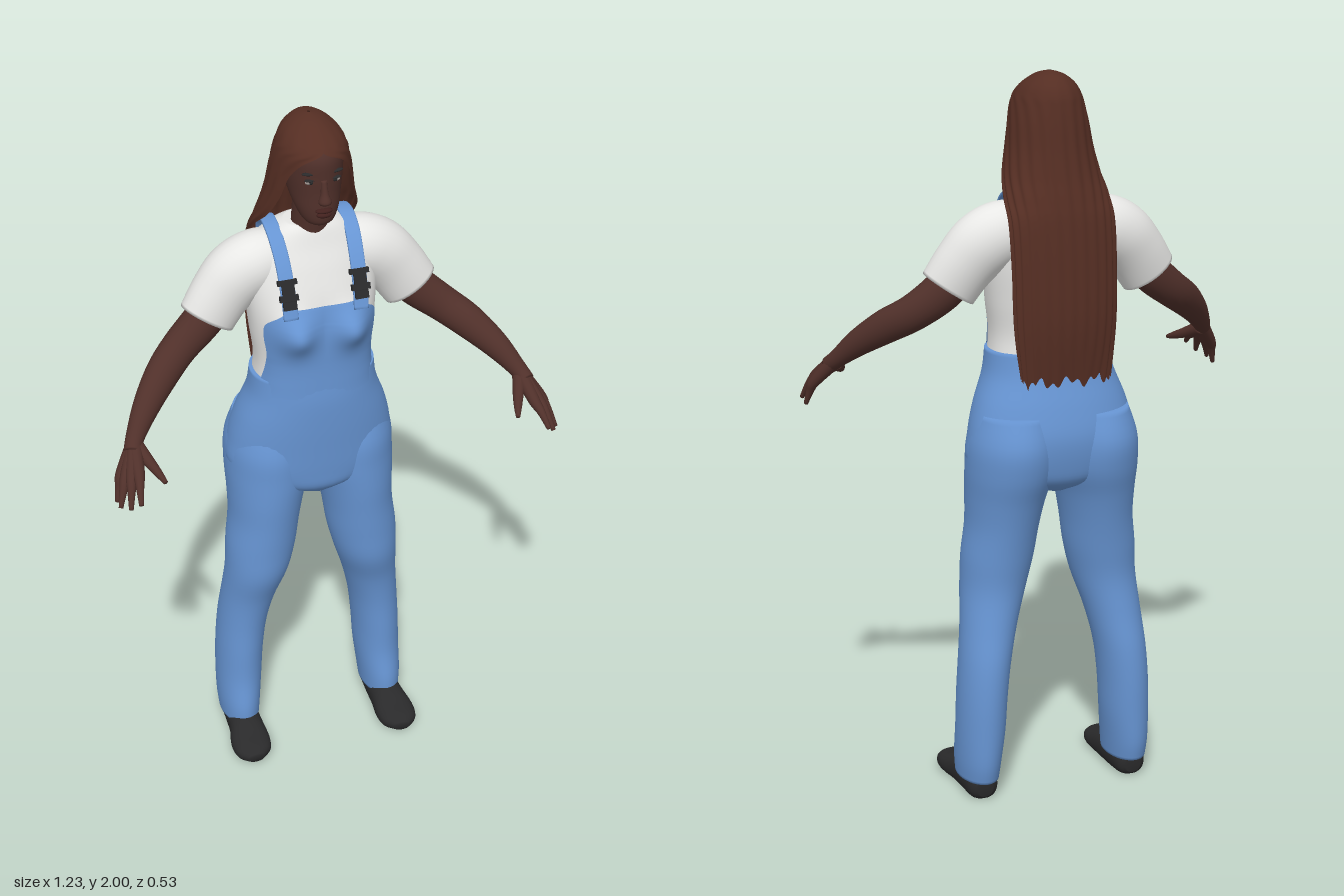
import * as THREE from 'three';

const mat = (name, color, both) => {
  const m = new THREE.MeshStandardMaterial({ color });
  m.name = name;
  if (both) m.side = THREE.DoubleSide;
  return m;
};

// Catmull-Rom resampling of rows of numbers
function resample(rows, n) {
  const out = [], last = rows.length - 1;
  for (let s = 0; s <= n; s++) {
    const f = (s / n) * last, i = Math.min(Math.floor(f), last - 1), t = f - i;
    const p = k => rows[Math.max(0, Math.min(last, k))];
    out.push(rows[0].map((_, k) => {
      const a = p(i - 1)[k], b = p(i)[k], c = p(i + 1)[k], d = p(i + 2)[k];
      return b + 0.5 * t * (c - a + t * (2 * a - 5 * b + 4 * c - d + t * (3 * (b - c) + d - a)));
    }));
  }
  return out;
}

// Indexed grid of points; closed wraps each row around
function grid(rows, closed) {
  const w = rows[0].length, idx = [];
  for (let i = 0; i < rows.length - 1; i++) {
    for (let j = 0; j < (closed ? w : w - 1); j++) {
      const a = i * w + j, b = i * w + (j + 1) % w;
      idx.push(a, b, a + w, b, b + w, a + w);
    }
  }
  const g = new THREE.BufferGeometry();
  g.setAttribute('position', new THREE.Float32BufferAttribute(rows.flat(2), 3));
  g.setIndex(idx);
  g.computeVertexNormals();
  return g;
}

// Loft of (super)ellipses through rows [x, y, z, ra, rb]; ra lies along ref.
// flat keeps every section horizontal; warp may move each point.
function loft(rows, { ref = [1, 0, 0], flat = false, n = 2, seg = 28, steps = 30, warp } = {}) {
  const s = resample(rows, steps), V = r => new THREE.Vector3(r[0], r[1], r[2]);
  const rings = s.map((r, i) => {
    let t = V(s[Math.min(i + 1, steps)]).sub(V(s[Math.max(i - 1, 0)])).normalize();
    if (flat) t = new THREE.Vector3(0, Math.sign(t.y), 0);
    const u = new THREE.Vector3(...ref);
    u.addScaledVector(t, -u.dot(t)).normalize();
    const v = t.clone().cross(u), ring = [];
    for (let j = 0; j < seg; j++) {
      const a = (j / seg) * Math.PI * 2, c = Math.cos(a), d = Math.sin(a);
      const p = V(r).addScaledVector(u, Math.sign(c) * Math.abs(c) ** (2 / n) * r[3])
        .addScaledVector(v, Math.sign(d) * Math.abs(d) ** (2 / n) * r[4]);
      if (warp) warp(p);
      ring.push(p.toArray());
    }
    return ring;
  });
  const cap = ring => {
    const c = [0, 1, 2].map(k => ring.reduce((a, p) => a + p[k], 0) / seg);
    return ring.map(() => c);
  };
  return grid([cap(rings[0]), ...rings, cap(rings[steps])], true);
}

// [y, half width, front z, back z] to loft rows
const body = rows => rows.map(([y, rx, f, b]) => [0, y, (f + b) / 2, rx, (f - b) / 2]);

export function createModel() {
  const model = new THREE.Group();
  model.name = 'womanInDungarees';
  const denim = mat('denim blue', 0x6795d3), bibDenim = denim;
  denim.side = THREE.DoubleSide;
  const cotton = mat('white cotton', 0xe8e8e6), skin = mat('brown skin', 0x50302a);
  const hairMat = mat('dark brown hair', 0x552e23, true), black = mat('black', 0x2a2a2b);
  const lipMat = mat('lip', 0x42211e), eyeMat = mat('eye white', 0x9a918c);

  const add = (name, geo, m, parent = model) => {
    const mesh = new THREE.Mesh(geo, m);
    mesh.name = name;
    parent.add(mesh);
    return mesh;
  };
  const blob = (name, m, pos, size, parent) => {
    const b = add(name, new THREE.SphereGeometry(1, 20, 14), m, parent);
    b.position.set(...pos);
    b.scale.set(...size);
    return b;
  };

  // Torso and shirt
  const N = 2.3;
  const torso = body([[1.2, .172, .04, -.2], [1.3, .16, .038, -.188], [1.4, .17, .038, -.198], [1.5, .178, .03, -.208],
    [1.58, .172, .005, -.208], [1.64, .148, -.02, -.198], [1.68, .105, -.035, -.172], [1.7, .066, -.045, -.145]]);
  const bust = (x, y) => .044 * Math.exp(-(((Math.abs(x) - .08) / .05) ** 2) - ((y - 1.425) / .055) ** 2);
  add('shirtBody', loft(torso, {
    flat: true, n: N, seg: 48, steps: 40,
    warp: p => { if (p.z > -.06) p.z += bust(p.x, p.y); }
  }), cotton);

  // Dungarees: hips, bib and legs
  add('dungareeHips', loft(body([[1.265, .172, .046, -.2], [1.2, .181, .051, -.213], [1.12, .211, .049, -.238],
    [1.04, .231, .044, -.254], [.96, .235, .038, -.245], [.91, .17, .03, -.225], [.875, .05, 0, -.17]]),
  { flat: true, n: 2.15, seg: 48 }), denim);

  const fine = resample(torso, 80);
  const frontZ = (x, y) => {
    const r = fine.find(q => q[1] >= y) || fine[80];
    return r[2] + r[4] * Math.max(0, 1 - Math.abs(x / r[3]) ** N) ** (1 / N) + bust(x, y);
  };
  const bibRows = resample([[1.22, .168], [1.29, .152], [1.35, .147], [1.41, .154], [1.45, .15], [1.48, .118], [1.5, .088]], 36);
  add('bib', grid(bibRows.map(([y, w]) => Array.from({ length: 41 }, (_, j) => {
    const x = (j / 20 - 1) * w;
    return [x, y, frontZ(x, y) + .009];
  }))), bibDenim);

  // Head, neck and face
  add('neck', loft([[0, 1.62, -.095, .058, .055], [0, 1.68, -.085, .052, .05], [0, 1.78, -.07, .05, .05]], { flat: true }), skin);
  add('head', loft(body([[1.728, .02, .012, -.03], [1.742, .041, .029, -.06], [1.775, .058, .034, -.1], [1.82, .07, .033, -.15],
    [1.87, .077, .034, -.17], [1.92, .077, .032, -.17], [1.955, .06, .005, -.15], [1.975, .03, -.04, -.12]]), { flat: true, seg: 36 }), skin);
  add('nose', loft([[0, 1.868, .03, .008, .01], [0, 1.835, .038, .01, .012], [0, 1.812, .042, .017, .018],
    [0, 1.802, .036, .013, .012]], { flat: true, seg: 16, steps: 14 }), skin);
  blob('upperLip', lipMat, [0, 1.782, .034], [.023, .007, .012]);
  blob('lowerLip', lipMat, [0, 1.77, .034], [.02, .008, .011]);

  // Long hair, open around the face and hanging down the back:
  // [y, half width, front z, back z, opening half angle]
  const hairRows = resample([[2, .004, -.09, -.1, 0], [1.99, .036, -.045, -.145, 0], [1.968, .066, -.005, -.17, 0],
    [1.942, .084, .028, -.185, 0], [1.915, .094, .04, -.192, 32], [1.87, .104, .036, -.2, 50], [1.8, .115, .03, -.21, 60],
    [1.735, .13, .005, -.222, 70], [1.68, .142, -.05, -.235, 82], [1.62, .146, -.12, -.246, 88], [1.5, .145, -.15, -.257, 88],
    [1.35, .142, -.16, -.262, 88], [1.2, .126, -.19, -.246, 88]], 72);
  const cols = 90;
  add('longHair', grid(hairRows.map(([y, rx, f, b, open], i) => Array.from({ length: cols + 1 }, (_, j) => {
    const o = Math.max(0, open) * Math.PI / 180, a = o + (j / cols) * 2 * (Math.PI - o);
    const k = 1 + .018 * Math.min(1, i / 40) * Math.sin(j * .9 + Math.sin(i * .08));
    const tip = i > 68 ? (i - 68) / 4 * .018 * Math.sin(j * .55) * Math.cos(j * .23) : 0;
    return [rx * k * Math.sin(a), y + tip, (f + b) / 2 + (f - b) / 2 * k * Math.cos(a)];
  }))), hairMat);

  // Everything that comes in pairs, mirrored
  for (const side of [1, -1]) {
    const half = new THREE.Group();
    half.name = side > 0 ? 'leftSide' : 'rightSide';
    half.scale.x = side;
    model.add(half);

    add('trouserLeg', loft([[.11, 1.1, -.115, .1, .125], [.117, 1.02, -.117, .118, .148], [.12, .94, -.112, .12, .145],
      [.13, .86, -.1, .108, .132], [.138, .78, -.093, .1, .12], [.15, .69, -.088, .099, .11], [.163, .6, -.087, .09, .102],
      [.183, .5, -.107, .078, .092], [.2, .4, -.122, .071, .093], [.21, .3, -.126, .068, .095], [.215, .2, -.125, .066, .095],
      [.22, .11, -.116, .061, .1], [.221, .055, -.11, .056, .095]],
    { flat: true, seg: 36, steps: 56 }), denim, half);

    add('shoe', loft([[.222, .035, -.187, .022, .025], [.222, .036, -.165, .042, .04], [.221, .036, -.1, .047, .046],
      [.222, .034, -.03, .05, .046], [.226, .026, .03, .058, .034], [.227, .022, .075, .05, .026], [.226, .018, .1, .022, .014]],
    { steps: 24, n: 2.3, warp: p => { p.y = Math.max(0, p.y); } }), black, half);

    add('sleeve', loft([[.07, 1.585, -.108, .08, .07], [.14, 1.582, -.108, .087, .082], [.195, 1.555, -.107, .089, .08],
      [.242, 1.505, -.102, .084, .07], [.284, 1.443, -.094, .08, .06]], { ref: [.75, .66, 0], steps: 24 }), cotton, half);

    add('arm', loft([[.24, 1.5, -.1, .055, .05], [.3, 1.435, -.09, .055, .048], [.37, 1.38, -.066, .05, .045],
      [.43, 1.338, -.02, .047, .042], [.49, 1.285, .038, .037, .034], [.535, 1.232, .09, .025, .025],
      [.55, 1.208, .12, .024, .024]], { ref: [.6, .8, 0], steps: 30, seg: 24 }), skin, half);

    // Fingers run from the wrist through the palm: [knuckle, tip]
    const fingers = [
      ['indexFinger', [.55, 1.182, .178], [.565, 1.135, .258]],
      ['middleFinger', [.568, 1.172, .176], [.588, 1.112, .238]],
      ['ringFinger', [.58, 1.165, .16], [.608, 1.1, .205]],
      ['littleFinger', [.588, 1.16, .14], [.608, 1.092, .165]]];
    for (const [name, k, t] of fingers) {
      const mid = k.map((v, i) => (v + t[i]) / 2 + (i === 1 ? .006 : 0));
      add(name, loft([[.541, 1.222, .1, .021, .021], [...k, .016, .016], [...mid, .011, .011], [...t, .006, .006]],
        { seg: 12, steps: 14 }), skin, half);
    }
    add('thumb', loft([[.538, 1.218, .1, .02, .02], [.514, 1.19, .155, .015, .015], [.5, 1.176, .19, .011, .011],
      [.489, 1.165, .22, .006, .006]], { seg: 12, steps: 14 }), skin, half);

    // Shoulder strap from the bib over to the back waist, with its buckle
    add('strap', loft([[.096, 1.485, .056], [.098, 1.55, .036], [.1, 1.62, -.002], [.103, 1.67, -.05], [.104, 1.693, -.11],
      [.1, 1.677, -.168], [.09, 1.6, -.212], [.07, 1.42, -.212], [.06, 1.25, -.205]].map(p => [...p, .02, .005]),
    { n: 5, seg: 20, steps: 50 }), denim, half);
    const buckle = new THREE.Group();
    buckle.name = 'buckle';
    buckle.position.set(.098, 1.557, .037);
    buckle.rotation.x = -.42;
    half.add(buckle);
    for (const [y, w, h] of [[.028, .052, .014], [.008, .034, .034], [-.014, .05, .016], [-.034, .036, .022]]) {
      add('bucklePart', new THREE.BoxGeometry(w, h, .014), black, buckle).position.y = y;
    }

    // Eye and brow
    blob('eye', eyeMat, [.033, 1.862, .021], [.014, .006, .007], half);
    blob('iris', black, [.032, 1.863, .025], [.006, .006, .005], half);
    blob('eyelid', black, [.033, 1.868, .022], [.016, .003, .008], half);
    blob('brow', black, [.035, 1.885, .02], [.02, .004, .008], half).rotation.z = .1;
  }
  return model;
}
